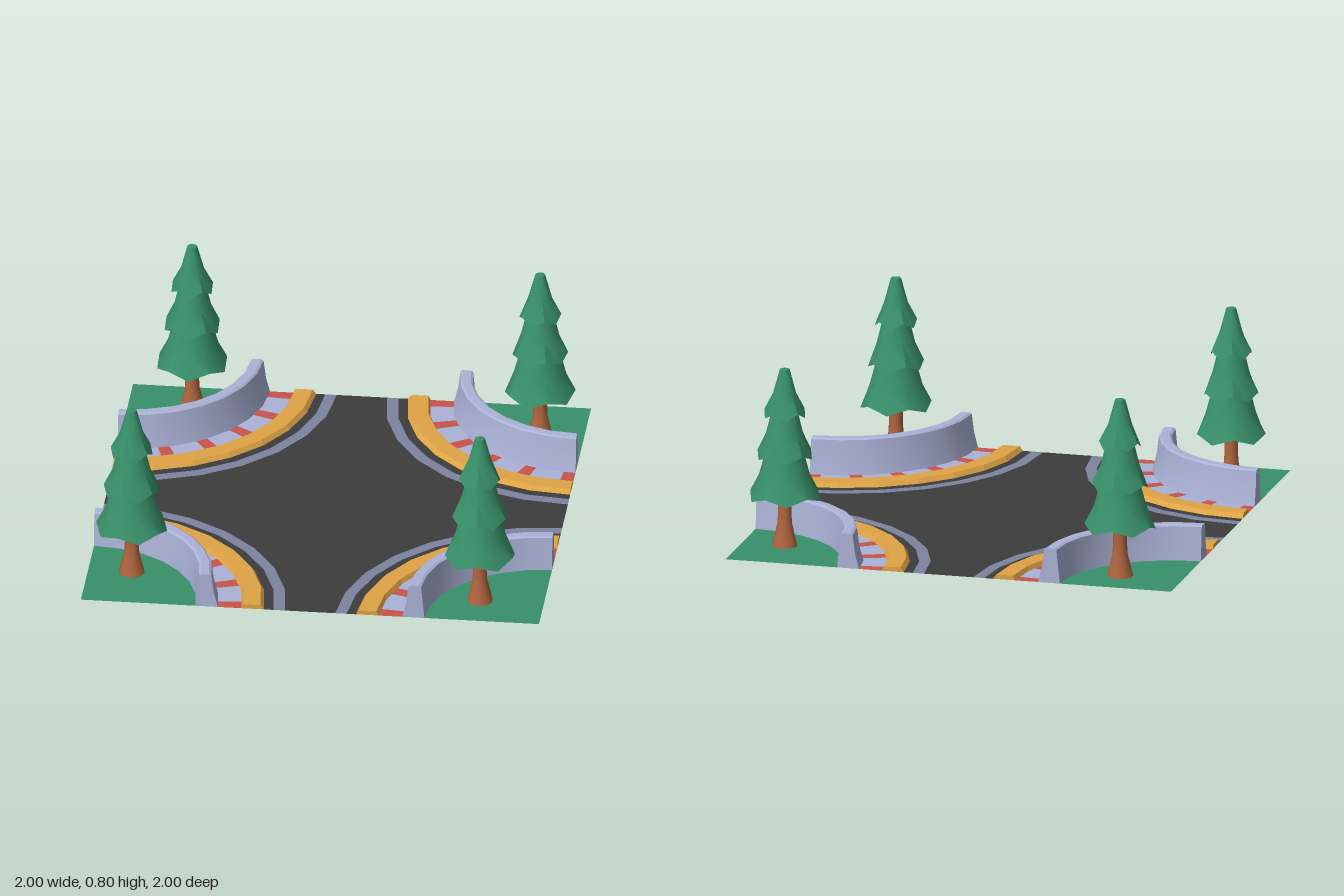
import * as THREE from 'three';
import { toCreasedNormals } from 'three/addons/utils/BufferGeometryUtils.js';

const SEGMENTS = 7;
const STEP = Math.PI / 2 / SEGMENTS;

function paint(name, color) {
  return new THREE.MeshStandardMaterial({ name, color, side: THREE.DoubleSide });
}

// Radius of the faceted arc at angle a, so all bands meet without gaps
function facetRadius(r, a) {
  const k = Math.min(SEGMENTS - 1, Math.floor(a / STEP + 1e-6));
  return r * Math.cos(STEP / 2) / Math.cos(a - (k + 0.5) * STEP);
}

function arcPoint([r, y], a) {
  const f = facetRadius(r, a);
  return [f * Math.cos(a) - 1, y, f * Math.sin(a) - 1];
}

// Sweep a profile of [radius, height], listed inner to outer, around one corner
function sweep(profile, a0 = 0, a1 = Math.PI / 2, capped = false) {
  const stops = [a0];
  for (let i = 1; i < SEGMENTS; i++) {
    const a = i * STEP;
    if (a > a0 + 1e-4 && a < a1 - 1e-4) stops.push(a);
  }
  stops.push(a1);
  const out = [];
  for (let s = 0; s + 1 < stops.length; s++) {
    for (let i = 0; i + 1 < profile.length; i++) {
      const a = arcPoint(profile[i], stops[s]);
      const b = arcPoint(profile[i], stops[s + 1]);
      const c = arcPoint(profile[i + 1], stops[s + 1]);
      const d = arcPoint(profile[i + 1], stops[s]);
      out.push(...a, ...b, ...c, ...a, ...c, ...d);
    }
  }
  if (capped) {
    const mid = [(profile[0][0] + profile.at(-1)[0]) / 2, 0];
    for (let i = 0; i + 1 < profile.length; i++) {
      out.push(...arcPoint(mid, a0), ...arcPoint(profile[i], a0), ...arcPoint(profile[i + 1], a0));
      out.push(...arcPoint(mid, a1), ...arcPoint(profile[i + 1], a1), ...arcPoint(profile[i], a1));
    }
  }
  const geo = new THREE.BufferGeometry();
  geo.setAttribute('position', new THREE.Float32BufferAttribute(out, 3));
  geo.computeVertexNormals();
  return geo;
}

function lathe(points, sides = 10) {
  return new THREE.LatheGeometry(points.map(([r, y]) => new THREE.Vector2(r, y)), sides);
}

// One skirt of branches with a scalloped rim
function skirtGeometry(y, rim, top, height, closed) {
  const points = [
    [0, y + 0.04], [rim * 0.6, y + 0.03], [rim, y],
    [(rim + top) * 0.5 - 0.005, y + height * 0.45], [top, y + height],
  ];
  if (closed) points.push([0, y + height + 0.004]);
  const geo = lathe(points);
  const pos = geo.attributes.position;
  for (let s = 0; s <= 10; s++) {
    const i = s * points.length + 2;
    pos.setY(i, y + (s % 2 ? 0.014 : -0.014));
  }
  return toCreasedNormals(geo, 0.7);
}

function add(parent, name, geo, material) {
  const mesh = new THREE.Mesh(geo, material);
  mesh.name = name;
  parent.add(mesh);
  return mesh;
}

export function createModel() {
  const asphalt = paint('asphalt', 0x3c3c3c);
  const lineGray = paint('line gray', 0x7d83a0);
  const orange = paint('kerb orange', 0xe0a445);
  const red = paint('stripe red', 0xc8544c);
  const pale = paint('concrete lavender', 0xabb2d6);
  const green = paint('evergreen', 0x38906a);
  const brown = paint('bark', 0xb0653f);

  const model = new THREE.Group();
  model.name = 'crossroads';

  // Central road surface between the four rounded corners
  const outline = [];
  for (let k = 0; k < 4; k++) {
    for (let i = SEGMENTS; i >= 0; i--) {
      let [x, , z] = arcPoint([0.89, 0], i * STEP);
      for (let t = 0; t < k; t++) [x, z] = [-z, x];
      outline.push(new THREE.Vector2(x, -z));
    }
  }
  const roadGeo = new THREE.ShapeGeometry(new THREE.Shape(outline));
  roadGeo.rotateX(-Math.PI / 2);
  add(model, 'road', roadGeo, asphalt);

  // Shared corner geometries
  const wallGeo = toCreasedNormals(sweep(
    [[0.5, 0], [0.515, 0.15], [0.525, 0.156], [0.56, 0.156], [0.57, 0.15], [0.58, 0.07], [0.598, 0]],
    0, Math.PI / 2, true), 0.5);
  const kerbGeo = sweep([[0.7, 0], [0.71, 0.02], [0.785, 0.02], [0.8, 0]], 0, Math.PI / 2, true);
  const lineGeo = sweep([[0.84, 0], [0.89, 0]]);
  const shoulderGeo = sweep([[0.8, 0], [0.84, 0]]);
  const grassGeo = sweep([[0, 0], [0.5, 0]]);
  const trunkGeo = toCreasedNormals(
    lathe([[0, -0.001], [0.057, -0.001], [0.05, 0.03], [0.033, 0.1], [0.03, 0.15], [0.03, 0.28]]), 0.7);
  const skirts = [
    skirtGeometry(0.225, 0.155, 0.085, 0.2),
    skirtGeometry(0.41, 0.122, 0.055, 0.21),
    skirtGeometry(0.595, 0.092, 0.022, 0.2, true),
  ];

  for (let k = 0; k < 4; k++) {
    const corner = new THREE.Group();
    corner.name = 'corner';
    corner.rotation.y = -k * Math.PI / 2;
    model.add(corner);

    add(corner, 'grass', grassGeo, green);
    add(corner, 'barrierWall', wallGeo, pale);
    add(corner, 'raisedKerb', kerbGeo, orange);
    add(corner, 'roadShoulder', shoulderGeo, asphalt);
    add(corner, 'edgeLine', lineGeo, lineGray);

    // Striped strip: six red bars with five pale slabs between
    const deg = Math.PI / 180;
    for (let i = 0; i < 6; i++) {
      const a = i * 17 * deg;
      const strip = [[0.597, 0], [0.702, 0]];
      add(corner, 'redStripe', sweep(strip, a, a + 5 * deg), red);
      if (i < 5) add(corner, 'paleSlab', sweep(strip, a + 5 * deg, a + 17 * deg), pale);
    }

    // Evergreen tree
    const tree = new THREE.Group();
    tree.name = 'tree';
    tree.position.set(-0.72, 0, -0.81);
    add(tree, 'trunk', trunkGeo, brown);
    skirts.forEach((geo) => add(tree, 'branches', geo, green));
    corner.add(tree);
  }
  return model;
}
